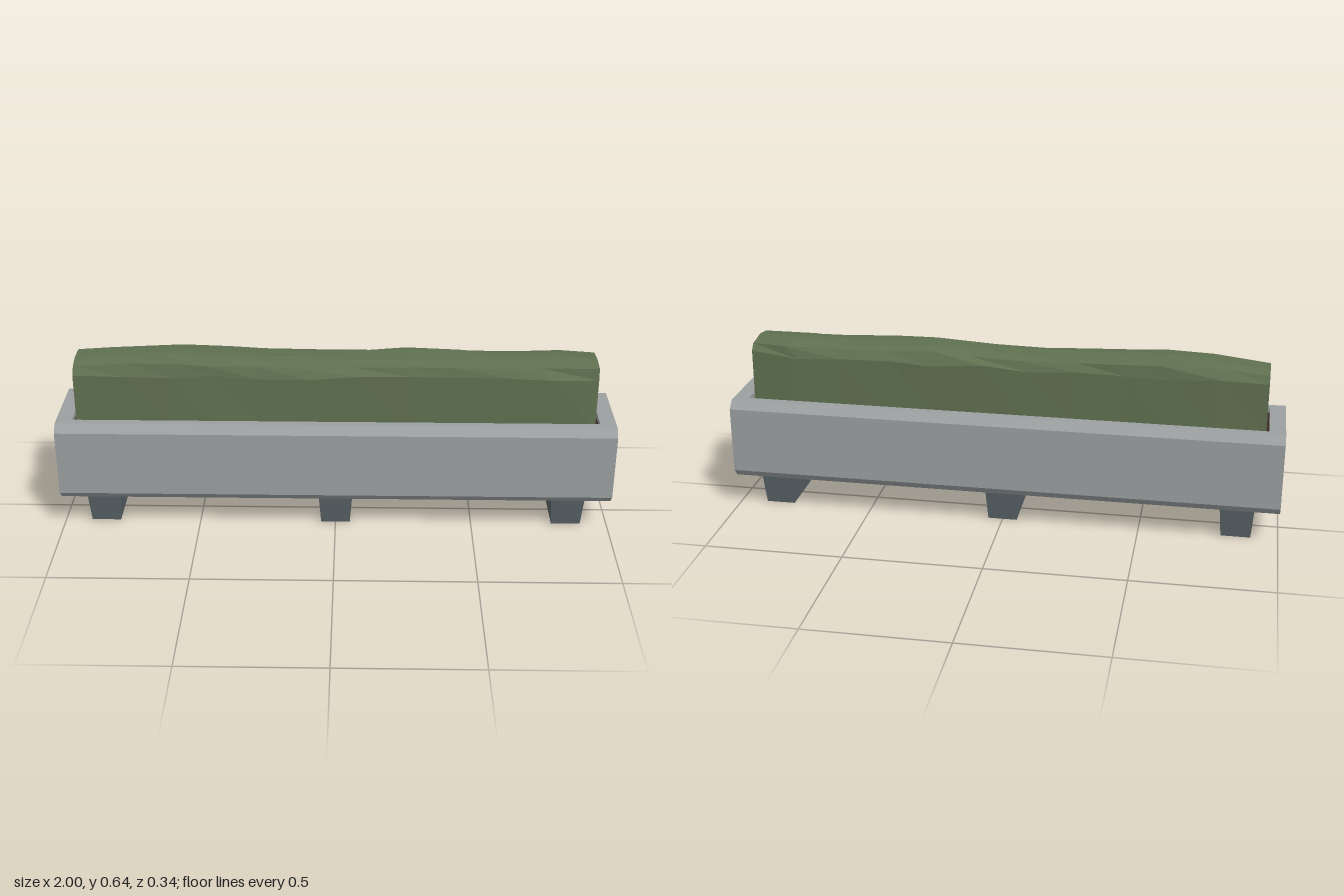
import * as THREE from 'three';

// Joins equal-length rings of [x, y, z] into a flat-shaded skin with optional end caps
function loft(rings, capStart = true, capEnd = true) {
  const n = rings[0].length;
  const index = [];
  for (let i = 0; i < rings.length - 1; i++) {
    for (let j = 0; j < n; j++) {
      const k = (j + 1) % n;
      const a = i * n + j, b = i * n + k, c = a + n, d = b + n;
      index.push(a, b, d, a, d, c);
    }
  }
  const last = (rings.length - 1) * n;
  for (let j = 1; j < n - 1; j++) {
    if (capStart) index.push(0, j + 1, j);
    if (capEnd) index.push(last, last + j, last + j + 1);
  }
  const indexed = new THREE.BufferGeometry();
  indexed.setAttribute('position', new THREE.Float32BufferAttribute(rings.flat(2), 3));
  indexed.setIndex(index);
  const geometry = indexed.toNonIndexed();
  geometry.computeVertexNormals();
  return geometry;
}

// Horizontal rectangle, anticlockwise from above
const rect = (y, hx, hz) => [[hx, y, hz], [hx, y, -hz], [-hx, y, -hz], [-hx, y, hz]];

function seeded(seed) {
  return () => {
    seed = (seed * 16807) % 2147483647;
    return seed / 2147483647 - 0.5;
  };
}

function part(name, geometry, color) {
  const mesh = new THREE.Mesh(geometry, new THREE.MeshStandardMaterial({ color, flatShading: true }));
  mesh.name = name;
  return mesh;
}

// Clipped hedge: upright sides, bevelled shoulders and an uneven crown
function hedgeGeometry() {
  const jitter = seeded(41);
  const crown = [0.622, 0.636, 0.639, 0.634, 0.63, 0.627, 0.631, 0.638, 0.633, 0.627, 0.634, 0.628];
  const count = crown.length;
  const rings = crown.map((top, i) => {
    const end = i === 0 || i === count - 1;
    const x = THREE.MathUtils.lerp(-0.933, 0.93, i / (count - 1));
    const w = end ? 0.087 : 0.098;
    // Half section from the base up: [z, y]
    const half = [[w, 0.39], [w - 0.001, 0.585], [w - 0.016, top - 0.013], [w * 0.45, top - 0.003]];
    const wobble = ([z, y], side, k) => [
      x + (end ? 0 : jitter() * (k > 1 ? 0.1 : 0.03)),
      y + (k === 0 ? 0 : jitter() * (k === 1 ? 0.02 : 0.007)),
      side * (z + jitter() * (k > 1 ? 0.016 : 0.006)),
    ];
    return [
      ...half.map((p, k) => wobble(p, -1, k)),
      [x, top, 0.008 + jitter() * 0.01],
      ...half.map((p, k) => wobble(p, 1, k)).reverse(),
    ];
  });
  return loft(rings);
}

export function createModel() {
  const model = new THREE.Group();
  model.name = 'hedgePlanter';

  // Trough with chamfered long edges and a recessed opening
  model.add(part('trough', loft([
    rect(0.12, 1, 0.142),
    rect(0.15, 1, 0.17),
    rect(0.392, 1, 0.17),
    rect(0.42, 1, 0.142),
    rect(0.42, 0.943, 0.114),
    rect(0.38, 0.943, 0.114),
  ], true, false), 0x9b9fa0));

  // Soil filling the opening
  const soil = part('soil', new THREE.BoxGeometry(1.886, 0.03, 0.228), 0x3a2923);
  soil.position.y = 0.385;
  model.add(soil);

  model.add(part('hedge', hedgeGeometry(), 0x5f7050));

  // Three tapered feet
  const footGeometry = loft([rect(0, 0.053, 0.103), rect(0.122, 0.062, 0.118)]);
  for (const x of [-0.85, 0, 0.85]) {
    const foot = part('foot', footGeometry, 0x596266);
    foot.position.x = x;
    model.add(foot);
  }
  return model;
}
